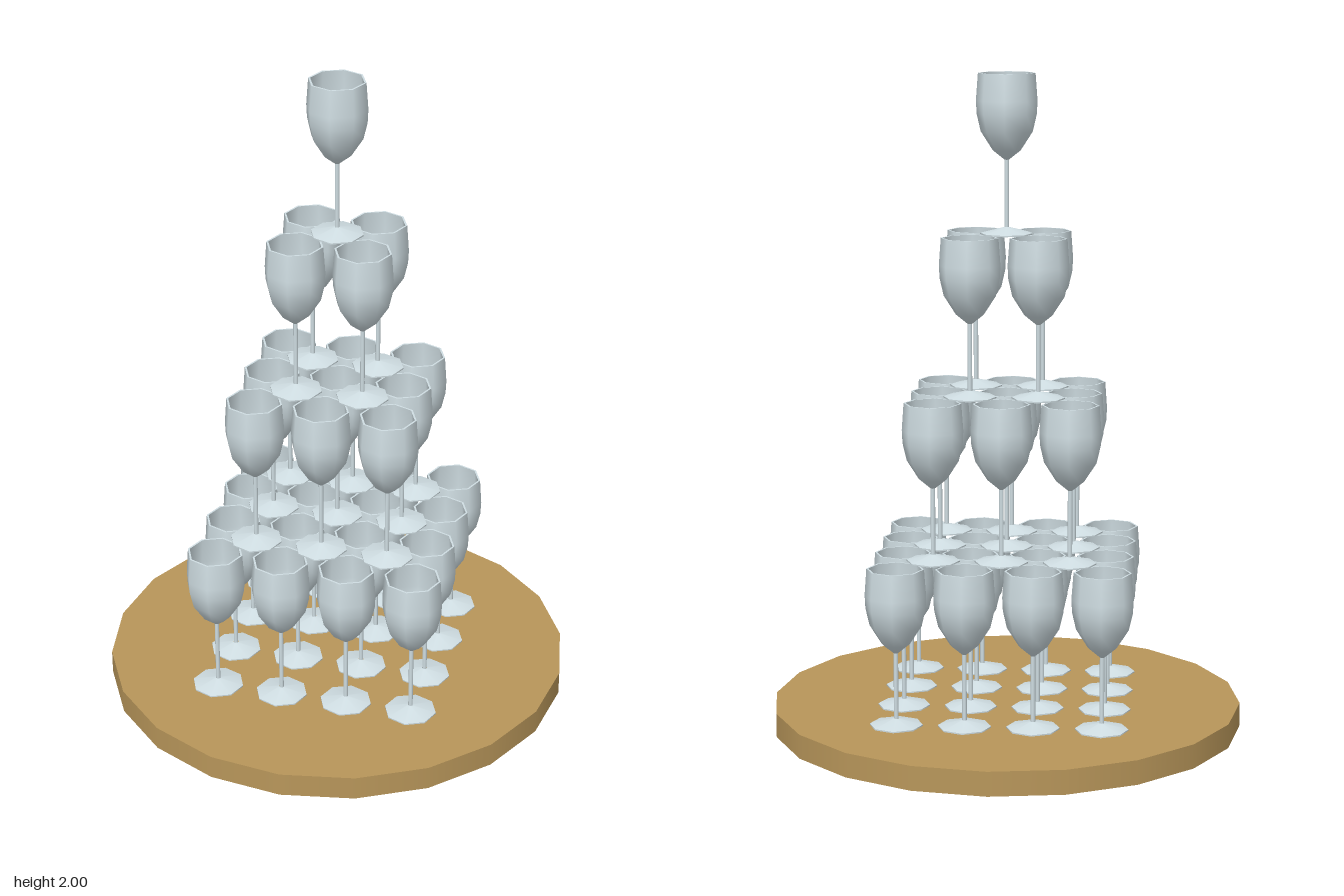
import * as THREE from 'three';

const BASE_TOP = 0.074, GLASS_H = 0.4815, PITCH = 0.205, SIDES = 8;

const lathe = (points) =>
  new THREE.LatheGeometry(points.map(([r, y]) => new THREE.Vector2(r, y)), SIDES);

export function createModel() {
  const glass = new THREE.MeshStandardMaterial({ color: 0xcfdde2, side: THREE.DoubleSide });
  glass.name = 'clear glass';
  const wine = new THREE.MeshStandardMaterial({ color: 0xbc9a5c });
  wine.name = 'golden wine';
  const wood = new THREE.MeshStandardMaterial({ color: 0xb8965a });
  wood.name = 'golden wood';

  // Shared parts of one glass
  const parts = [
    // Foot: thin disc rising to a shallow cone, closed below
    ['foot', glass, lathe([[0, 0], [0.08, 0], [0.08, 0], [0.08, 0.004], [0.08, 0.004], [0.008, 0.022]])],
    // Slender stem
    ['stem', glass, lathe([[0.007, 0.018], [0.007, 0.23]])],
    // Bowl: outer wall up to the rim, then the inner wall back down
    ['bowl', glass, lathe([
      [0.007, 0.224], [0.042, 0.252], [0.078, 0.308], [0.09, 0.36], [0.092, 0.4], [0.086, GLASS_H],
      [0.086, GLASS_H], [0.08, GLASS_H], [0.08, GLASS_H],
      [0.086, 0.4], [0.084, 0.36], [0.072, 0.312], [0.038, 0.258], [0, 0.236],
    ])],
    // Wine: fills the lower bowl, with a softly rounded surface
    ['wine', wine, lathe([
      [0, 0.238], [0.037, 0.26], [0.071, 0.314], [0.083, 0.36], [0.045, 0.366], [0, 0.368],
    ])],
  ];

  const makeGlass = () => {
    const g = new THREE.Group();
    g.name = 'wineGlass';
    for (const [name, material, geometry] of parts) {
      const mesh = new THREE.Mesh(geometry, material);
      mesh.name = name;
      g.add(mesh);
    }
    return g;
  };

  const model = new THREE.Group();
  model.name = 'glassTower';

  // Round serving board
  const board = new THREE.Mesh(new THREE.CylinderGeometry(0.72, 0.72, BASE_TOP, 20), wood);
  board.name = 'board';
  board.position.y = BASE_TOP / 2;
  model.add(board);

  // Square tiers of 4x4, 3x3, 2x2 and 1 glass
  for (let tier = 0; tier < 4; tier++) {
    const n = 4 - tier;
    const row = new THREE.Group();
    row.name = `tier${tier + 1}`;
    row.position.y = BASE_TOP + tier * GLASS_H;
    for (let i = 0; i < n; i++) {
      for (let j = 0; j < n; j++) {
        const g = makeGlass();
        g.position.set((i - (n - 1) / 2) * PITCH, 0, (j - (n - 1) / 2) * PITCH);
        row.add(g);
      }
    }
    model.add(row);
  }
  return model;
}
